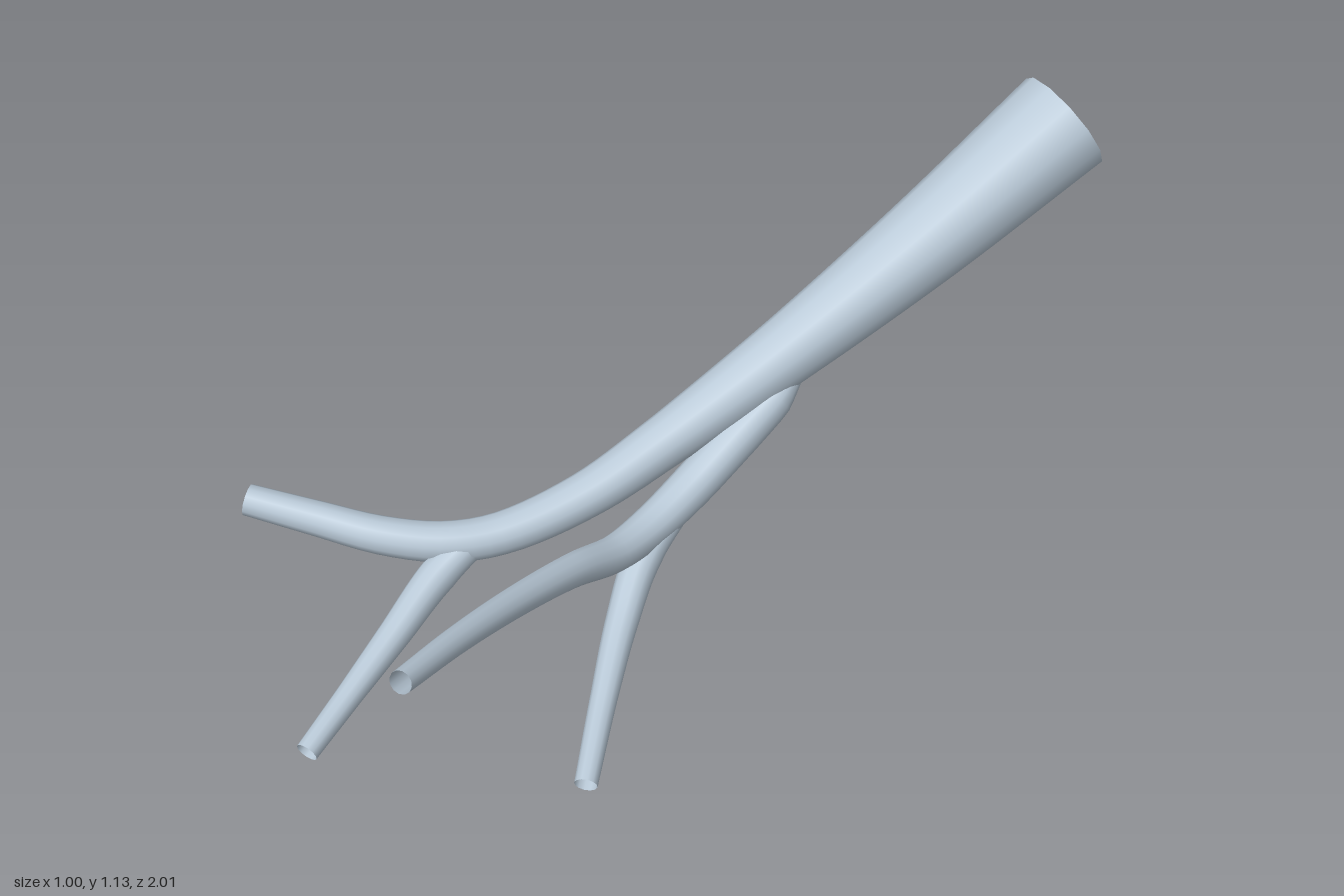
import * as THREE from 'three';

// Open tube along a smooth path; each point is [x, y, z, radius]
function taperedTube(name, points, material, segments = 40, sides = 12) {
  const curve = new THREE.CatmullRomCurve3(points.map(([x, y, z]) => new THREE.Vector3(x, y, z)));
  const geometry = new THREE.TubeGeometry(curve, segments, 1, sides, false);
  const position = geometry.attributes.position;
  const vertex = new THREE.Vector3();
  for (let i = 0; i <= segments; i++) {
    const u = i / segments;
    const center = curve.getPointAt(u);
    // Radius blends between the path points
    const t = curve.getUtoTmapping(u) * (points.length - 1);
    const k = Math.min(Math.floor(t), points.length - 2);
    const radius = THREE.MathUtils.lerp(points[k][3], points[k + 1][3], t - k);
    for (let j = 0; j <= sides; j++) {
      const index = i * (sides + 1) + j;
      vertex.fromBufferAttribute(position, index).sub(center).multiplyScalar(radius).add(center);
      position.setXYZ(index, vertex.x, vertex.y, vertex.z);
    }
  }
  const mesh = new THREE.Mesh(geometry, material);
  mesh.name = name;
  return mesh;
}

export function createModel() {
  const group = new THREE.Group();
  group.name = 'branchingTube';
  const paleBlue = new THREE.MeshStandardMaterial({ color: 0xb8c8d6, side: THREE.DoubleSide });
  paleBlue.name = 'paleBlueGrey';

  // Wide trunk that narrows and bends into the outer right branch
  group.add(taperedTube('trunk', [
    [0.38, 1.035, -0.93, 0.128],
    [0.265, 0.80, -0.61, 0.105],
    [0.15, 0.59, -0.29, 0.081],
    [0.055, 0.43, 0, 0.062],
    [0, 0.345, 0.2, 0.054],
    [-0.07, 0.298, 0.39, 0.049],
    [-0.135, 0.295, 0.5, 0.047],
    [-0.23, 0.312, 0.6, 0.044],
    [-0.35, 0.34, 0.69, 0.04],
    [-0.475, 0.372, 0.785, 0.036],
  ], paleBlue, 64));

  // Short branch dropping forward from the trunk's bend
  group.add(taperedTube('frontBranch', [
    [-0.1, 0.305, 0.42, 0.036],
    [-0.105, 0.245, 0.55, 0.043],
    [-0.075, 0.178, 0.7, 0.036],
    [-0.037, 0.125, 0.85, 0.029],
    [0.005, 0.086, 0.99, 0.025],
  ], paleBlue));

  // Long branch leaving the underside of the trunk and rising forward
  group.add(taperedTube('leftBranch', [
    [0.172, 0.54, -0.28, 0.03],
    [0.168, 0.495, -0.22, 0.05],
    [0.15, 0.43, -0.14, 0.053],
    [0.135, 0.34, 0, 0.051],
    [0.137, 0.295, 0.13, 0.047],
    [0.155, 0.297, 0.25, 0.043],
    [0.185, 0.352, 0.4, 0.038],
    [0.24, 0.418, 0.6, 0.033],
    [0.31, 0.485, 0.8, 0.028],
    [0.385, 0.545, 0.985, 0.024],
  ], paleBlue, 60));

  // Lower fork of the left branch
  group.add(taperedTube('leftFork', [
    [0.135, 0.305, 0.05, 0.036],
    [0.155, 0.24, 0.17, 0.043],
    [0.215, 0.16, 0.29, 0.037],
    [0.31, 0.09, 0.43, 0.03],
    [0.43, 0.028, 0.59, 0.025],
  ], paleBlue));

  return group;
}
